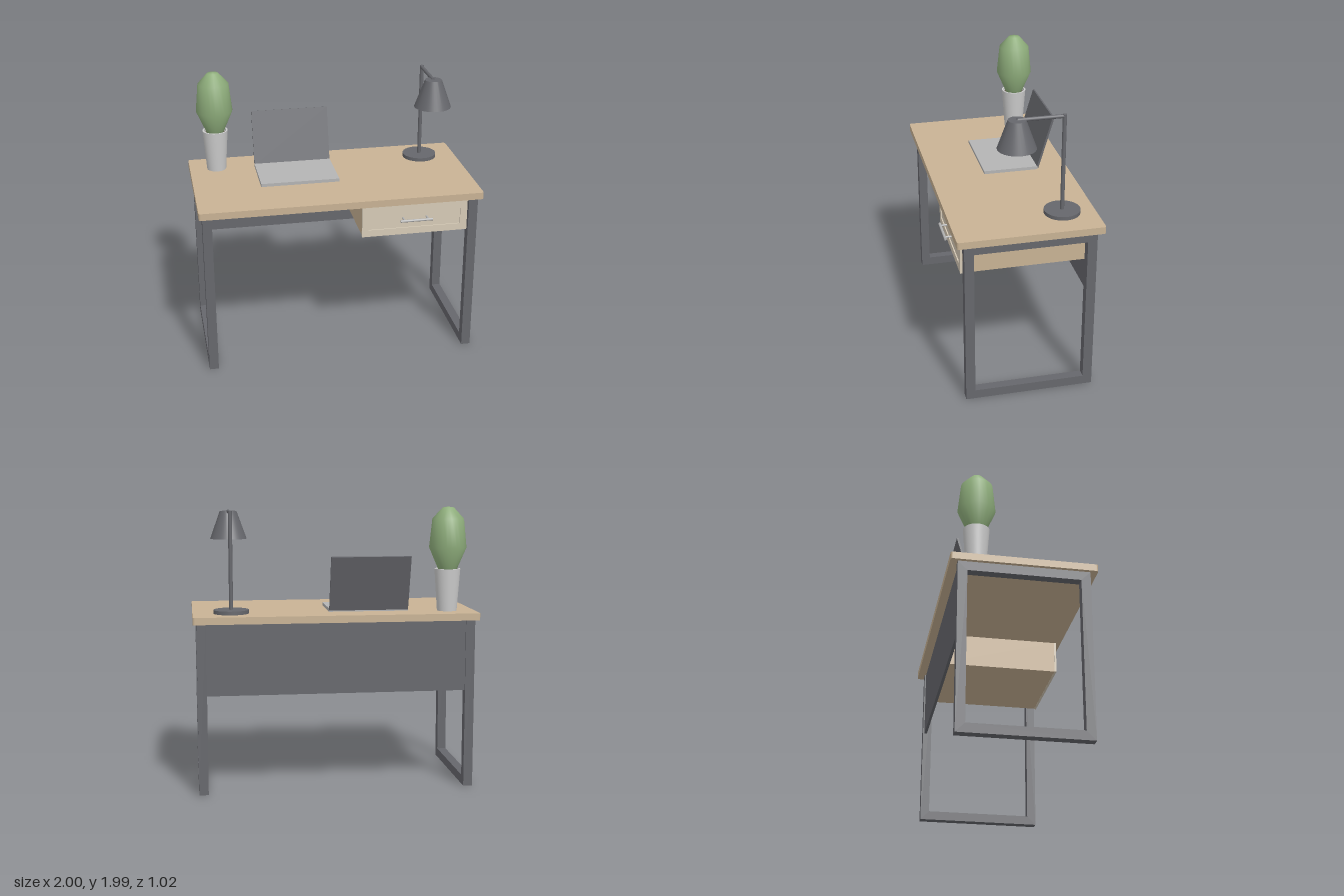
import * as THREE from 'three';
import { toCreasedNormals } from 'three/addons/utils/BufferGeometryUtils.js';

const mat = (color, side = THREE.FrontSide) => new THREE.MeshStandardMaterial({ color, side });
const wood = mat(0xc8b294), paleWood = mat(0xd6cab6);
const metal = mat(0x66676c), metalOpen = mat(0x66676c, THREE.DoubleSide);
const silver = mat(0xb4b4b4), ceramic = mat(0xcccccc, THREE.DoubleSide);
const green = mat(0x8fae7c), soil = mat(0x5a4a3c);

function add(parent, name, geometry, material, x = 0, y = 0, z = 0) {
  const mesh = new THREE.Mesh(geometry, material);
  mesh.name = name;
  mesh.position.set(x, y, z);
  parent.add(mesh);
  return mesh;
}

// Box given by its two opposite corners
function block(parent, name, material, [x0, y0, z0], [x1, y1, z1]) {
  return add(parent, name, new THREE.BoxGeometry(x1 - x0, y1 - y0, z1 - z0), material,
    (x0 + x1) / 2, (y0 + y1) / 2, (z0 + z1) / 2);
}

function rect(path, x0, y0, x1, y1) {
  path.moveTo(x0, y0);
  path.lineTo(x1, y0);
  path.lineTo(x1, y1);
  path.lineTo(x0, y1);
  path.closePath();
  return path;
}

// Rectangular frame with a rectangular opening, extruded along z
function frame(outer, inner, depth) {
  const shape = rect(new THREE.Shape(), ...outer);
  shape.holes.push(rect(new THREE.Path(), ...inner));
  return new THREE.ExtrudeGeometry(shape, { depth, bevelEnabled: false });
}

function lathe(points, segments, crease) {
  const g = new THREE.LatheGeometry(points.map(([r, y]) => new THREE.Vector2(r, y)), segments);
  return crease ? toCreasedNormals(g, crease) : g;
}

// Cylinder running between two points
function rod(parent, name, material, a, b, radius) {
  const p = new THREE.Vector3(...a), q = new THREE.Vector3(...b);
  const dir = q.clone().sub(p);
  const mesh = add(parent, name, new THREE.CylinderGeometry(radius, radius, dir.length(), 16), material);
  mesh.position.copy(p).add(q).multiplyScalar(0.5);
  mesh.quaternion.setFromUnitVectors(new THREE.Vector3(0, 1, 0), dir.normalize());
  return mesh;
}

function createDesk() {
  const desk = new THREE.Group();
  desk.name = 'desk';

  // Tabletop with slightly rounded corners in plan
  const w = 1, d = 0.5, r = 0.015;
  const plan = new THREE.Shape();
  plan.absarc(w - r, d - r, r, 0, Math.PI / 2);
  plan.absarc(-w + r, d - r, r, Math.PI / 2, Math.PI);
  plan.absarc(-w + r, -d + r, r, Math.PI, Math.PI * 1.5);
  plan.absarc(w - r, -d + r, r, Math.PI * 1.5, Math.PI * 2);
  const top = new THREE.ExtrudeGeometry(plan, { depth: 0.05, bevelEnabled: false, curveSegments: 4 });
  top.rotateX(-Math.PI / 2);
  add(desk, 'tabletop', top, wood, 0, 1.205, -0.01);

  // Closed rectangular leg frames at both ends
  for (const side of [-1, 1]) {
    const leg = frame([-0.45, 0, 0.45, 1.205], [-0.385, 0.065, 0.385, 1.14], 0.065);
    leg.translate(0, 0, -0.0325);
    leg.rotateY(Math.PI / 2);
    add(desk, side > 0 ? 'leftLegFrame' : 'rightLegFrame', leg, metal, side * 0.9425, 0, -0.01);
  }
  block(desk, 'backPanel', metal, [-0.91, 0.7, -0.45], [0.91, 1.205, -0.43]);
  return desk;
}

function createDrawer() {
  const drawer = new THREE.Group();
  drawer.name = 'drawer';
  block(drawer, 'drawerBox', wood, [0.14, 0.967, -0.43], [0.89, 1.205, 0.438]);

  // Framed front with a recessed field
  add(drawer, 'drawerFrontFrame', frame([0.135, 0.965, 0.895, 1.205], [0.18, 1.015, 0.845, 1.155], 0.015),
    paleWood, 0, 0, 0.438);
  block(drawer, 'drawerFrontField', paleWood, [0.18, 1.015, 0.438], [0.845, 1.155, 0.445]);

  // Bar handle on two posts
  rod(drawer, 'handleBar', silver, [0.4, 1.087, 0.5], [0.63, 1.087, 0.5], 0.009);
  for (const x of [0.43, 0.6]) {
    rod(drawer, 'handlePost', silver, [x, 1.087, 0.445], [x, 1.087, 0.5], 0.007);
  }
  return drawer;
}

function createLaptop() {
  const laptop = new THREE.Group();
  laptop.name = 'laptop';
  block(laptop, 'laptopBase', silver, [-0.525, 1.255, -0.29], [0.04, 1.278, 0.105]);

  // Screen hinged at the back edge and leaning backwards
  const screen = new THREE.BoxGeometry(0.565, 0.4, 0.014);
  screen.translate(0, 0.2, -0.007);
  add(laptop, 'laptopScreen', screen, metal, -0.2425, 1.268, -0.284).rotation.x = -0.285;
  return laptop;
}

function createLamp() {
  const lamp = new THREE.Group();
  lamp.name = 'lamp';
  const x = 0.73, z = -0.281, shadeZ = 0.036;
  add(lamp, 'lampBase', new THREE.CylinderGeometry(0.124, 0.124, 0.026, 40), metal, x, 1.268, z);
  rod(lamp, 'lampPole', metal, [x, 1.27, z], [x, 1.966, z], 0.014);
  rod(lamp, 'lampArm', metal, [x, 1.953, z], [x, 1.953, shadeZ], 0.013);

  // Conical shade, closed on top and open below
  add(lamp, 'lampShade', lathe([[0.131, 1.757], [0.06, 1.955], [0, 1.955]], 40, 0.7),
    metalOpen, x, 0, shadeZ);
  return lamp;
}

function createPlant() {
  const plant = new THREE.Group();
  plant.name = 'pottedPlant';
  plant.position.set(-0.803, 0, -0.313);
  const pot = [[0, 1.256], [0.07, 1.256], [0.092, 1.555], [0.08, 1.555], [0.077, 1.52]];
  add(plant, 'pot', lathe(pot, 32, 0.7), ceramic);
  add(plant, 'soil', new THREE.CylinderGeometry(0.079, 0.077, 0.01, 32), soil, 0, 1.525, 0);

  // Faceted outline, smoothly shaded
  const body = [[0, 1.52], [0.055, 1.525], [0.07, 1.56], [0.132, 1.705], [0.111, 1.907], [0.04, 1.985], [0, 1.991]];
  add(plant, 'cactus', lathe(body, 24), green);
  return plant;
}

export function createModel() {
  const model = new THREE.Group();
  model.name = 'deskSet';
  model.add(createDesk(), createDrawer(), createLaptop(), createLamp(), createPlant());
  return model;
}
